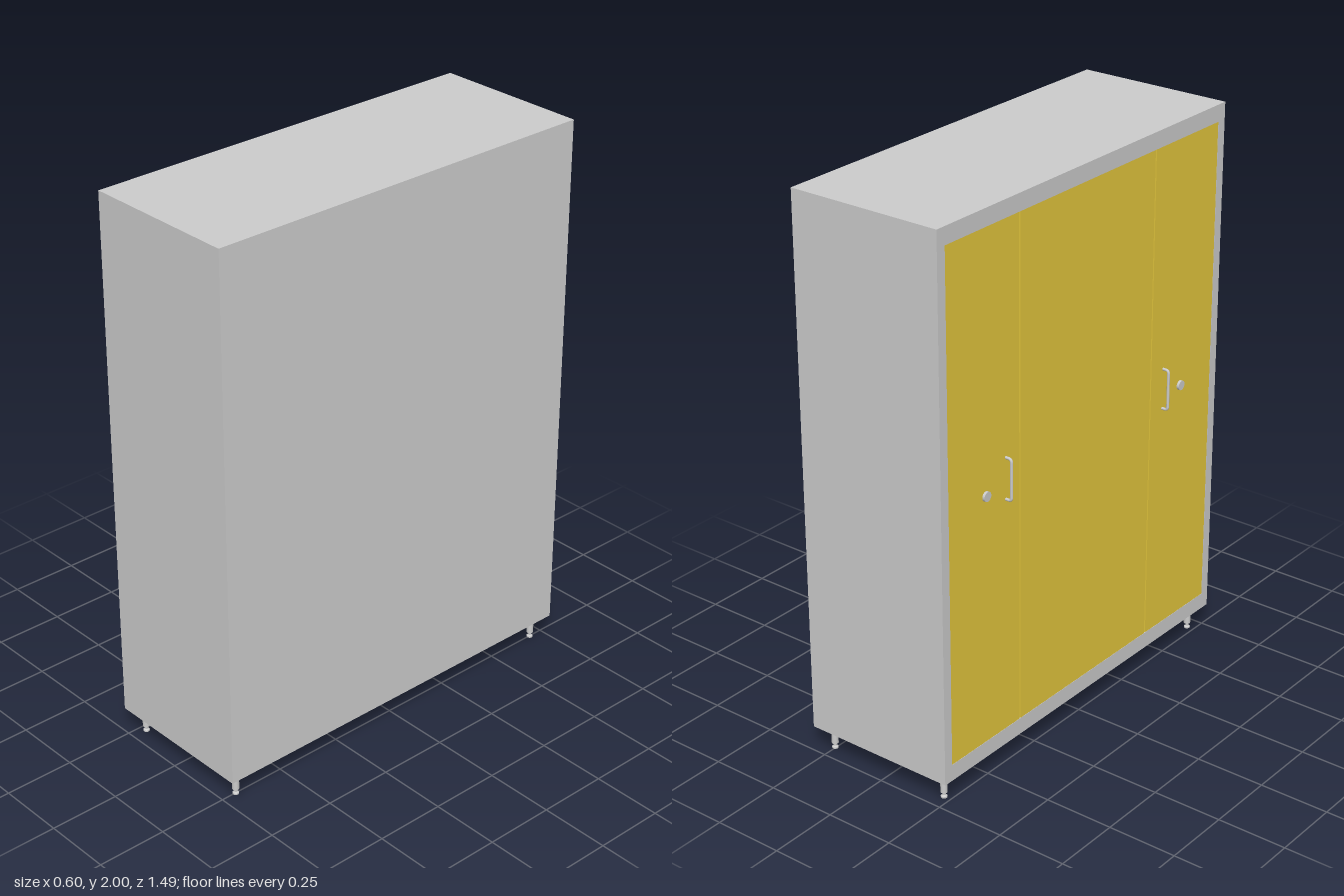
import * as THREE from 'three';

const grey = new THREE.MeshStandardMaterial({ color: 0xcccccc });
const yellow = new THREE.MeshStandardMaterial({ color: 0xe3c63c });

// Cabinet body extents; the doors face -x
const X0 = -0.272, X1 = 0.299, Y0 = 0.09, Y1 = 2, Z = 0.745;
const SIDE = 0.036, RAIL = 0.06, BACK = 0.02;

function add(parent, name, geometry, material = grey) {
  const mesh = new THREE.Mesh(geometry, material);
  mesh.name = name;
  parent.add(mesh);
  return mesh;
}

// Box given by its minimum and maximum on each axis
function slab(parent, name, [x0, x1], [y0, y1], [z0, z1], material) {
  const mesh = add(parent, name, new THREE.BoxGeometry(x1 - x0, y1 - y0, z1 - z0), material);
  mesh.position.set((x0 + x1) / 2, (y0 + y1) / 2, (z0 + z1) / 2);
  return mesh;
}

// Bow handle: a bent tube with round corners
function makeHandle() {
  const y0 = 0.997, y1 = 1.143, out = -0.294, r = 0.012;
  const v = (x, y) => new THREE.Vector3(x, y, 0);
  const path = new THREE.CurvePath();
  path.add(new THREE.LineCurve3(v(X0 + 0.01, y0), v(out + r, y0)));
  path.add(new THREE.QuadraticBezierCurve3(v(out + r, y0), v(out, y0), v(out, y0 + r)));
  path.add(new THREE.LineCurve3(v(out, y0 + r), v(out, y1 - r)));
  path.add(new THREE.QuadraticBezierCurve3(v(out, y1 - r), v(out, y1), v(out + r, y1)));
  path.add(new THREE.LineCurve3(v(out + r, y1), v(X0 + 0.01, y1)));
  return new THREE.TubeGeometry(path, 80, 0.005, 12);
}

// Adjustable foot: sleeve, thin spindle and pad
function makeLeg() {
  const profile = [[0, 0], [0.011, 0], [0.011, 0.005], [0.005, 0.009], [0.005, 0.02],
    [0.012, 0.02], [0.012, 0.092], [0, 0.092]];
  // Each straight run gets its own band so that edges stay sharp
  const leg = new THREE.Group();
  for (let i = 0; i < profile.length - 1; i++) {
    const pts = [profile[i], profile[i + 1]].map(p => new THREE.Vector2(...p));
    add(leg, 'legBand', new THREE.LatheGeometry(pts, 20));
  }
  return leg;
}

export function createModel() {
  const model = new THREE.Group();
  model.name = 'cabinet';

  // Carcass
  const carcass = new THREE.Group();
  carcass.name = 'carcass';
  model.add(carcass);
  slab(carcass, 'topPanel', [X0, X1], [Y1 - RAIL, Y1], [-Z + SIDE, Z - SIDE]);
  slab(carcass, 'bottomPanel', [X0, X1], [Y0, Y0 + RAIL], [-Z + SIDE, Z - SIDE]);
  slab(carcass, 'backPanel', [X1 - BACK, X1], [Y0 + RAIL, Y1 - RAIL], [-Z + SIDE, Z - SIDE]);
  slab(carcass, 'sidePanel', [X0, X1], [Y0, Y1], [-Z, -Z + SIDE]);
  slab(carcass, 'sidePanel', [X0, X1], [Y0, Y1], [Z - SIDE, Z]);

  // Wide middle panel
  const doorX = [X0 + 0.001, X0 + 0.022], doorY = [Y0 + RAIL, Y1 - RAIL];
  slab(model, 'middlePanel', doorX, doorY, [-0.352, 0.352], yellow);

  const handleGeometry = makeHandle();
  for (const s of [-1, 1]) {
    // Narrow door with its handle and lock
    const inner = s * 0.358, outer = s * (Z - SIDE);
    slab(model, 'door', doorX, doorY, [Math.min(inner, outer), Math.max(inner, outer)], yellow);
    // Upright behind the joint
    slab(model, 'divider', [doorX[1], X1 - BACK], doorY, [s * 0.355 - 0.01, s * 0.355 + 0.01]);
    add(model, 'handle', handleGeometry).position.z = s * 0.426;

    const lock = add(model, 'lock', new THREE.CylinderGeometry(0.017, 0.017, 0.012, 24));
    lock.rotation.z = Math.PI / 2;
    lock.position.set(X0 - 0.002, 1.048, s * 0.527);

    // Legs
    for (const x of [-0.223, 0.252]) {
      const leg = makeLeg();
      leg.name = 'leg';
      leg.position.set(x, 0, s * 0.694);
      model.add(leg);
    }
  }
  return model;
}
